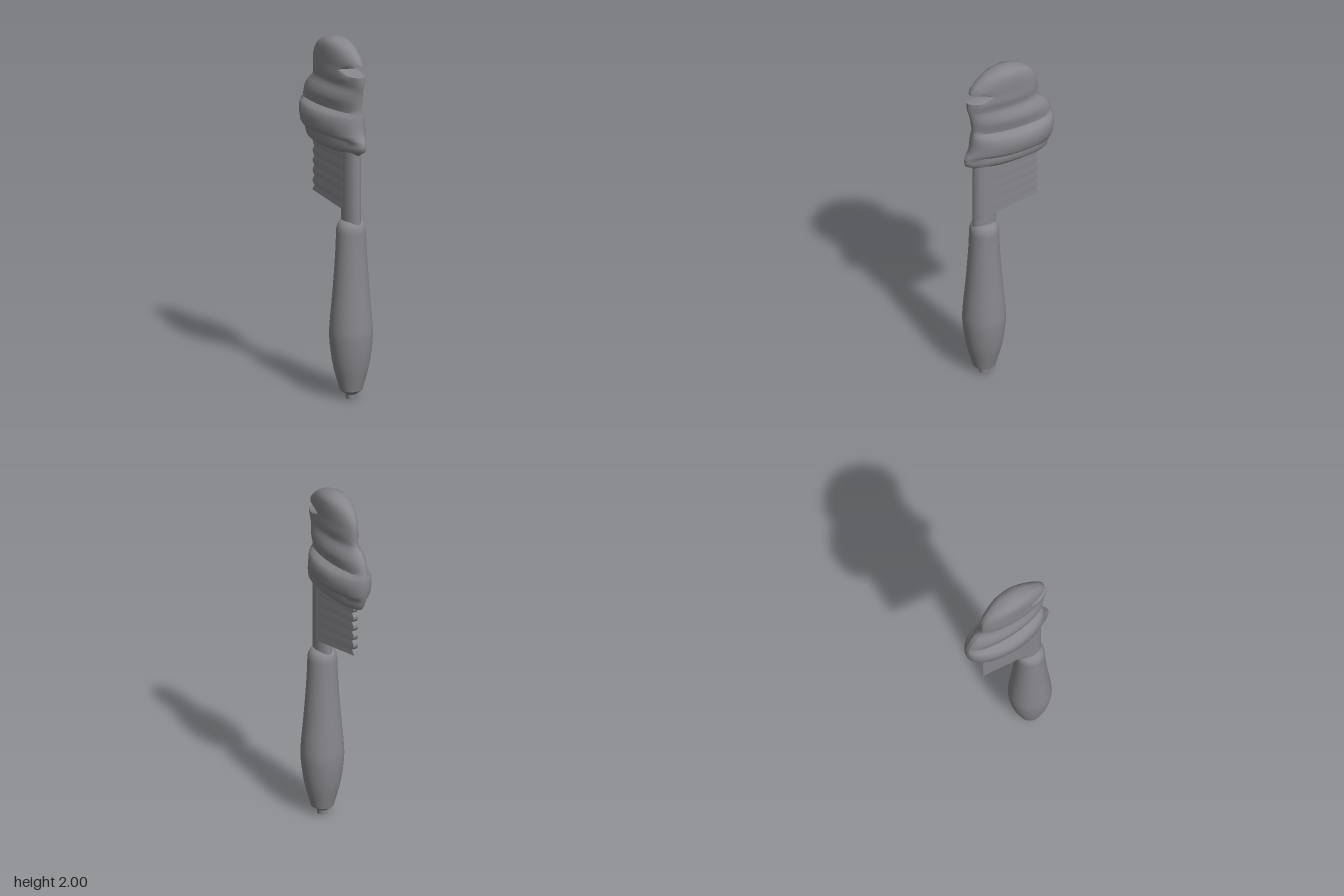
import * as THREE from 'three';
import { toCreasedNormals, mergeVertices } from 'three/addons/utils/BufferGeometryUtils.js';

// Closed solid from stacked rings; each ring is the same number of [x, y, z] points,
// running from +x towards +z, bottom ring first
function loft(rings, crease) {
  const n = rings[0].length, pos = rings.flat(2), idx = [];
  for (let r = 0; r < rings.length - 1; r++) {
    for (let j = 0; j < n; j++) {
      const a = r * n + j, b = r * n + (j + 1) % n;
      idx.push(a, a + n, b, b, a + n, b + n);
    }
  }
  const cap = (ring, start, top) => {
    const c = pos.length / 3;
    for (let k = 0; k < 3; k++) pos.push(ring.reduce((s, p) => s + p[k], 0) / n);
    for (let j = 0; j < n; j++) {
      const a = start + j, b = start + (j + 1) % n;
      if (top) idx.push(c, b, a);
      else idx.push(c, a, b);
    }
  };
  cap(rings[0], 0, false);
  cap(rings[rings.length - 1], (rings.length - 1) * n, true);
  const g = new THREE.BufferGeometry();
  g.setAttribute('position', new THREE.Float32BufferAttribute(pos, 3));
  g.setIndex(idx);
  return toCreasedNormals(g, crease);
}

export function createModel() {
  const group = new THREE.Group();
  const grey = new THREE.MeshStandardMaterial({ color: 0x87868b });
  grey.name = 'grey';
  const add = (name, geometry) => {
    const mesh = new THREE.Mesh(geometry, grey);
    mesh.name = name;
    group.add(mesh);
    return mesh;
  };
  const axisX = 0.147;

  // Turned handle: stepped end button, swelling grip, rounded shoulder
  const grip = new THREE.SplineCurve([
    [0.07, 0.08], [0.1, 0.2], [0.117, 0.34], [0.114, 0.44], [0.1, 0.6], [0.086, 0.8], [0.08, 0.95],
  ].map(p => new THREE.Vector2(...p))).getPoints(36);
  const profile = [
    [0, 0], [0.028, 0], [0.03, 0.025], [0.062, 0.05],
  ].map(p => new THREE.Vector2(...p)).concat(grip, [
    [0.076, 0.97], [0.066, 0.99], [0.05, 1.0], [0, 1.0],
  ].map(p => new THREE.Vector2(...p)));
  const lathe = new THREE.LatheGeometry(profile, 40);
  lathe.deleteAttribute('normal');
  lathe.deleteAttribute('uv');
  add('handle', toCreasedNormals(mergeVertices(lathe), 0.6)).position.x = axisX;

  // Oval neck between handle and blade
  const neck = new THREE.CylinderGeometry(1, 1, 0.42, 32);
  neck.scale(0.068, 1, 0.041);
  add('neck', neck).position.set(axisX, 1.18, 0);

  // Wedge blade: rounded spine at +x, scalloped cutting edge at -x, slanted heel
  const bladeRings = [];
  const spineX = 0.215, teeth = 6, y0 = 1.095, y1 = 1.43;
  const section = [[1, 0], [0.975, 0.022], [0.93, 0.035], [0.85, 0.04], [0.7, 0.038], [0, 0.015]];
  const outline = section.concat(section.slice(1).reverse().map(([u, z]) => [u, -z]));
  for (let i = 0; i <= teeth * 8; i++) {
    const t = i / (teeth * 8);
    const edge = -0.168 + 0.016 * (1 - Math.abs(Math.sin(Math.PI * t * teeth + Math.PI / 2)));
    const y = y0 + t * (y1 - y0);
    bladeRings.push(outline.map(([u, z]) => [
      edge + u * (spineX - edge), y - 0.045 * u * (1 - t), z,
    ]));
  }
  add('blade', loft(bladeRings, 0.6));

  // Banded swirl around the blade: height, left end, right end, half depth
  const rows = [
    [1.375, -0.165, 0.215, 0.038], [1.39, -0.215, 0.235, 0.052], [1.405, -0.228, 0.26, 0.064],
    [1.43, -0.237, 0.265, 0.066], [1.455, -0.247, 0.262, 0.067], [1.468, -0.251, 0.25, 0.095],
    [1.49, -0.257, 0.235, 0.112], [1.54, -0.266, 0.229, 0.115], [1.58, -0.265, 0.225, 0.114],
    [1.598, -0.262, 0.222, 0.1], [1.612, -0.259, 0.22, 0.066], [1.635, -0.253, 0.22, 0.068],
    [1.665, -0.243, 0.224, 0.078], [1.695, -0.228, 0.228, 0.078], [1.725, -0.205, 0.234, 0.066],
    [1.745, -0.178, 0.24, 0.056], [1.765, -0.173, 0.247, 0.054], [1.79, -0.171, 0.25, 0.064],
    [1.822, -0.17, 0.25, 0.066], [1.845, -0.17, 0.24, 0.064], [1.874, -0.166, 0.237, 0.065],
    [1.892, -0.16, 0.235, 0.066], [1.92, -0.146, 0.212, 0.066], [1.95, -0.122, 0.178, 0.065],
    [1.972, -0.09, 0.145, 0.06], [1.988, -0.055, 0.105, 0.048], [2.0, -0.005, 0.055, 0.02],
  ];
  const notchY = 1.845, notchX = 0.11, around = 64;
  const swirlRings = rows.map(([y, left, right, depth]) => {
    const ring = [];
    for (let j = 0; j < around; j++) {
      const a = j / around * Math.PI * 2;
      let x = (left + right) / 2 + (right - left) / 2 * Math.cos(a);
      // The notch row is cut back to leave a wedge-shaped gap
      if (y === notchY) x = Math.min(x, notchX);
      ring.push([x, y, depth * Math.sin(a)]);
    }
    return ring;
  });
  add('swirl', loft(swirlRings, 0.9));

  return group;
}
